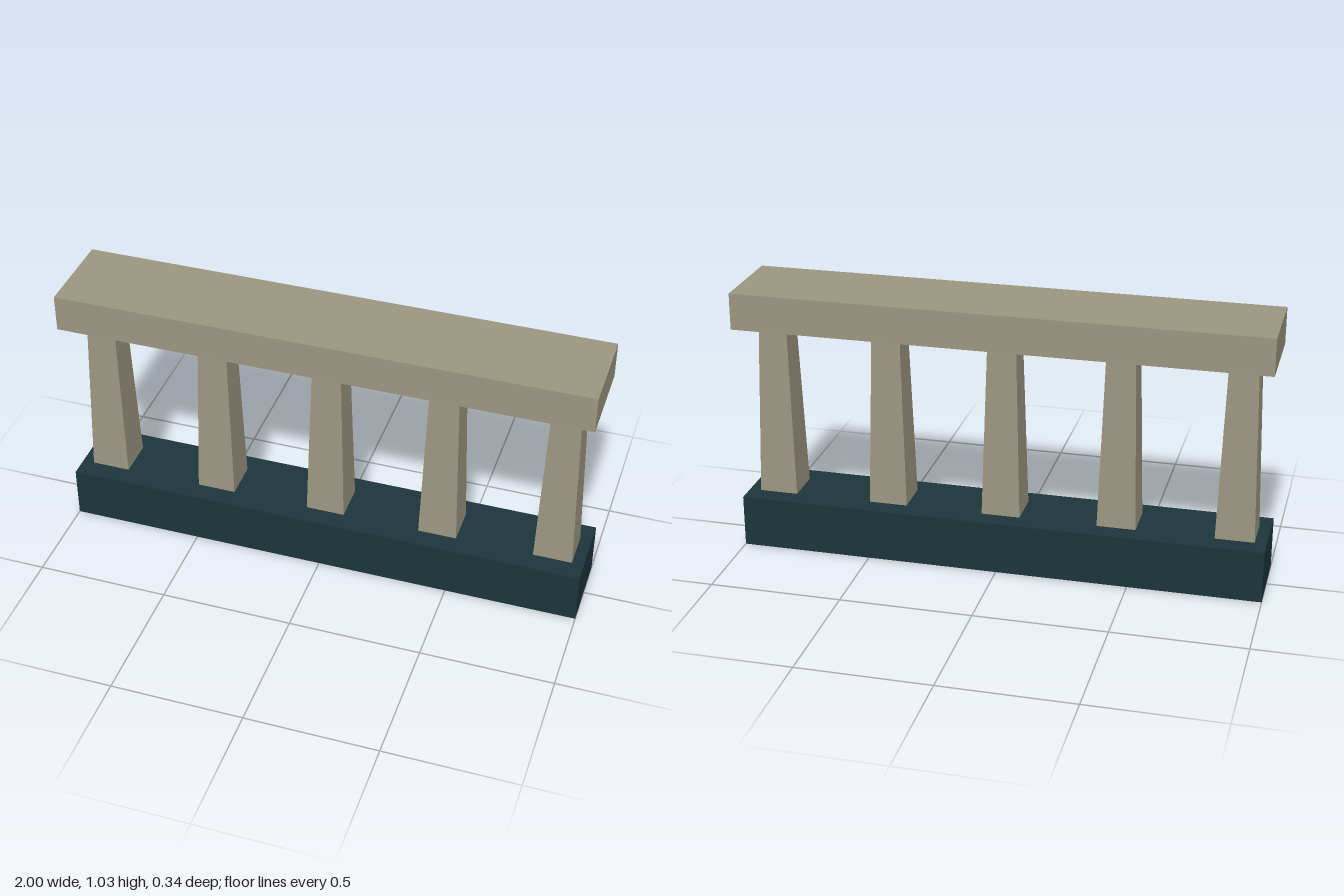
import * as THREE from 'three';

export function createModel() {
  const group = new THREE.Group();
  const stone = new THREE.MeshStandardMaterial({ color: 0x9b9680 });
  const dark = new THREE.MeshStandardMaterial({ color: 0x1b353b });

  // Box standing between two heights, optionally narrowed at the top
  function addBlock(name, material, width, depth, y0, y1, x = 0, taper = 1) {
    const geometry = new THREE.BoxGeometry(width, y1 - y0, depth);
    const pos = geometry.attributes.position;
    for (let i = 0; i < pos.count; i++) {
      if (pos.getY(i) > 0) {
        pos.setX(i, pos.getX(i) * taper);
        pos.setZ(i, pos.getZ(i) * taper);
      }
    }
    geometry.computeVertexNormals();
    const mesh = new THREE.Mesh(geometry, material);
    mesh.name = name;
    mesh.position.set(x, (y0 + y1) / 2, 0);
    group.add(mesh);
  }

  // Plinth and handrail
  addBlock('basePlinth', dark, 2, 0.3, 0, 0.2);
  addBlock('topRail', stone, 2, 0.342, 0.89, 1.03);

  // Five evenly spaced tapered balusters
  for (let i = -2; i <= 2; i++) {
    addBlock(`baluster${i + 3}`, stone, 0.147, 0.147, 0.2, 0.89, i * 0.441, 0.73);
  }
  return group;
}
